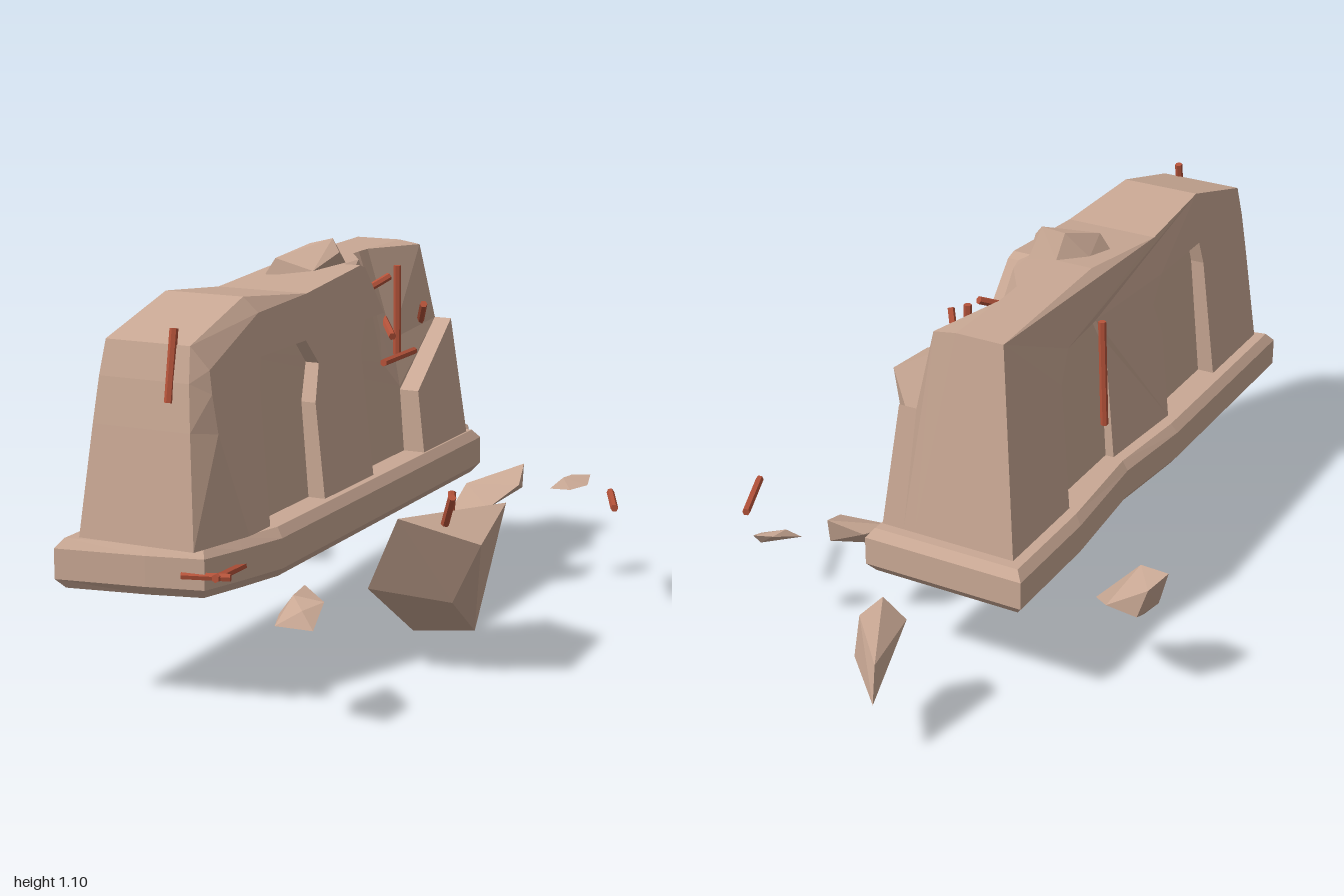
import * as THREE from 'three';
import { ConvexGeometry } from 'three/addons/geometries/ConvexGeometry.js';

const stone = new THREE.MeshStandardMaterial({ color: 0xc9a894, flatShading: true });
const steel = new THREE.MeshStandardMaterial({ color: 0xb5533a, flatShading: true });

// Closed solid through rings of equal point count; flat(p) gives the 2D view used for the end caps
function loft(rings, flat) {
  if (THREE.ShapeUtils.isClockWise(rings[0].map(flat))) rings = rings.map(r => [...r].reverse());
  const tris = [], n = rings[0].length, last = rings[rings.length - 1];
  for (const [a, b, c] of THREE.ShapeUtils.triangulateShape(rings[0].map(flat), []))
    tris.push([rings[0][c], rings[0][b], rings[0][a]]);
  for (const [a, b, c] of THREE.ShapeUtils.triangulateShape(last.map(flat), []))
    tris.push([last[a], last[b], last[c]]);
  for (let k = 0; k + 1 < rings.length; k++) {
    for (let i = 0; i < n; i++) {
      const j = (i + 1) % n, A = rings[k], B = rings[k + 1];
      tris.push([A[i], A[j], B[j]], [A[i], B[j], B[i]]);
    }
  }
  // turn the solid outward if its signed volume is negative
  let volume = 0;
  for (const [a, b, c] of tris) volume += a.dot(new THREE.Vector3().crossVectors(b, c));
  if (volume < 0) tris.forEach(t => t.reverse());
  const g = new THREE.BufferGeometry().setFromPoints(tris.flat());
  g.computeVertexNormals();
  return g;
}

// Wall space: t runs 0..1 across the tapering thickness, outline points are [z, y]
function wallPoint(t, [z, y]) {
  const taper = 0.06 * (y - 0.44) / 0.58;
  const left = -0.31 + taper + 0.025 * Math.max(0, 1 - Math.abs(z - 0.03) / 0.3);
  return new THREE.Vector3(left + t * (0.07 - taper - left), y, z);
}
const slab = (...layers) => loft(
  layers.map(([t, outline]) => outline.map(p => wallPoint(t, p))),
  p => new THREE.Vector2(p.z, p.y));

export function createModel() {
  const model = new THREE.Group();
  const add = (name, geometry, material = stone) => {
    const mesh = new THREE.Mesh(geometry, material);
    mesh.name = name;
    model.add(mesh);
  };

  // Plinth: bevelled slab with a pinched left side and a broken front right corner
  const plan = [[-0.36, -0.63], [0.11, -0.63], [0.11, 0.66], [0.07, 0.8], [0.03, 0.92],
    [-0.12, 0.955], [-0.36, 0.995], [-0.36, 0.3], [-0.335, 0.03], [-0.36, -0.3]];
  const plinthRing = (y, inset) => plan.map(([x, z]) => new THREE.Vector3(
    -0.125 + (x + 0.125) * (1 - inset / 0.235), y, 0.18 + (z - 0.18) * (1 - inset / 0.81)));
  add('plinth', loft([plinthRing(0.31, 0.02), plinthRing(0.335, 0), plinthRing(0.415, 0),
    plinthRing(0.44, 0.02)], p => new THREE.Vector2(p.x, p.z)));

  // Wall core, with a bite that widens towards the right side
  const top = [[0, 1.02], [0.33, 0.99], [0.61, 1.02]];
  const front = [[0.89, 0.94], [0.91, 0.85], [0.925, 0.73], [0.955, 0.44]];
  const core = bite => [[-0.58, 0.44], ...bite, ...top, ...front];
  const whole = core([[-0.52, 1.02], [-0.3, 1.02], [-0.27, 1.02], [-0.24, 1.02], [-0.2, 1.02]]);
  add('wallCore', slab(
    [0.13, whole],
    [0.53, whole],
    [0.78, core([[-0.52, 1.01], [-0.3, 0.76], [-0.22, 0.8], [-0.18, 0.9], [-0.1, 1.02]])],
    [0.87, core([[-0.545, 0.79], [-0.27, 0.63], [-0.16, 0.72], [-0.12, 0.86], [-0.03, 1.01]])]));

  // Outer skins: notches in their outlines form the recessed panels
  const frontPanel = [[0.65, 0.44], [0.63, 0.8], [0.61, 0.87], [0.36, 0.87], [0.3, 0.8],
    [0.34, 0.7], [0.34, 0.44]];
  const leftSkin = [[-0.58, 0.44], [-0.52, 1.02], ...top, ...front, ...frontPanel,
    [0.04, 0.44], [0.045, 0.79], [0, 0.87], [-0.19, 0.87], [-0.25, 0.79], [-0.27, 0.44]];
  add('leftSkin', slab([0, leftSkin], [0.13, leftSkin]));

  const rightStart = [[0.04, 0.44], [0.045, 0.79], [0, 0.87], [-0.12, 0.87], [-0.03, 1.01]];
  const chippedFront = [[0, 1.02], [0.33, 0.99], [0.6, 0.98],
    [0.87, 0.88], [0.87, 0.82], [0.86, 0.72], [0.76, 0.44]];
  add('rightSkin', slab(
    [0.87, [...rightStart, ...top, ...front, ...frontPanel]],
    [1, [...rightStart, ...chippedFront, ...frontPanel]]));
  const backPost = [[-0.58, 0.44], [-0.545, 0.79], [-0.27, 0.62], [-0.27, 0.44]];
  add('rightBackPost', slab([0.87, backPost], [1.04, backPost]));

  // Broken chunks, each the hull of a few corners [x, y, z]
  const chunks = {
    largeChunk: [[0.19, 0, 0.03], [0.42, 0.06, 0.13], [0.26, 0.25, 0.47], [0.47, 0.22, 0.4],
      [0.38, 0.47, 0.545], [0.57, 0.4, 0.45], [0.535, 0.45, 0.2], [0.38, 0.35, 0.05]],
    leftChunk: [[-0.65, 0.385, -0.36], [-0.56, 0.375, -0.34], [-0.63, 0.37, -0.44], [-0.43, 0.235, -0.34],
      [-0.51, 0.29, -0.44], [-0.57, 0.22, -0.33], [-0.62, 0.28, -0.35], [-0.6, 0.28, -0.44]],
    backChunk: [[-0.14, 0.19, -1], [-0.13, 0.29, -0.97], [-0.03, 0.25, -0.91], [-0.02, 0.3, -0.84],
      [-0.08, 0.35, -0.8], [-0.14, 0.35, -0.83], [-0.09, 0.42, -0.86], [-0.05, 0.38, -0.91]],
    sideChunk: [[0.13, 0.235, -0.335], [0.16, 0.325, -0.41], [0.2, 0.33, -0.5], [0.29, 0.37, -0.54],
      [0.315, 0.33, -0.44], [0.25, 0.27, -0.36], [0.29, 0.3, -0.53], [0.2, 0.25, -0.4]],
    smallChunk: [[0.37, 0.3, -0.55], [0.41, 0.33, -0.63], [0.46, 0.33, -0.65], [0.47, 0.31, -0.6],
      [0.43, 0.3, -0.56], [0.4, 0.33, -0.58], [0.45, 0.3, -0.63]],
    frontChunk: [[0.22, 0.33, 0.75], [0.33, 0.33, 0.86], [0.34, 0.28, 0.94], [0.23, 0.275, 0.93],
      [0.2, 0.28, 0.85], [0.25, 0.34, 0.87], [0.3, 0.32, 0.92]],
    topChunk: [[-0.2, 1, 0.17], [-0.17, 1.05, 0.16], [-0.18, 1.01, 0.08], [-0.12, 1.02, 0],
      [-0.05, 1.02, -0.03], [-0.06, 1.095, 0.03], [-0.03, 1.06, 0.05], [-0.06, 1.02, 0.15],
      [-0.12, 1.08, 0.05]],
  };
  for (const [name, corners] of Object.entries(chunks))
    add(name, new ConvexGeometry(corners.map(c => new THREE.Vector3(...c))));

  // Bent and snapped reinforcing rods, from end to end
  const rods = [
    [[-0.065, 0.8, 0.918], [-0.065, 0.98, 0.885]],   // front crack
    [[-0.03, 0.37, 0.93], [0.09, 0.37, 0.895]],      // plinth corner
    [[0.065, 0.37, 0.78], [0.06, 0.37, 0.92]],
    [[0.45, 0.4, 0.43], [0.51, 0.53, 0.5]],          // large chunk
    [[0.36, 0.36, 0.17], [0.345, 0.44, 0.12]],
    [[0.565, 0.315, -0.535], [0.64, 0.315, -0.36]],  // loose on the ground
    [[-0.01, 0.72, -0.285], [-0.01, 0.98, -0.285]],  // bite in the wall
    [[0.01, 0.72, -0.15], [0.01, 0.72, -0.36]],
    [[0.02, 0.79, -0.19], [-0.06, 0.82, -0.3]],
    [[0.04, 0.86, -0.36], [-0.02, 0.79, -0.47]],
    [[-0.05, 0.92, -0.13], [0, 0.96, -0.21]],
    [[-0.275, 0.56, 0], [-0.262, 0.87, 0]],          // left panel
  ];
  const up = new THREE.Vector3(0, 1, 0);
  for (const [from, to] of rods) {
    const a = new THREE.Vector3(...from), b = new THREE.Vector3(...to), dir = b.clone().sub(a);
    const g = new THREE.CylinderGeometry(0.011, 0.011, dir.length(), 6);
    g.applyQuaternion(new THREE.Quaternion().setFromUnitVectors(up, dir.normalize()));
    const mid = a.add(b).multiplyScalar(0.5);
    add('rod', g.translate(mid.x, mid.y, mid.z), steel);
  }
  return model;
}
